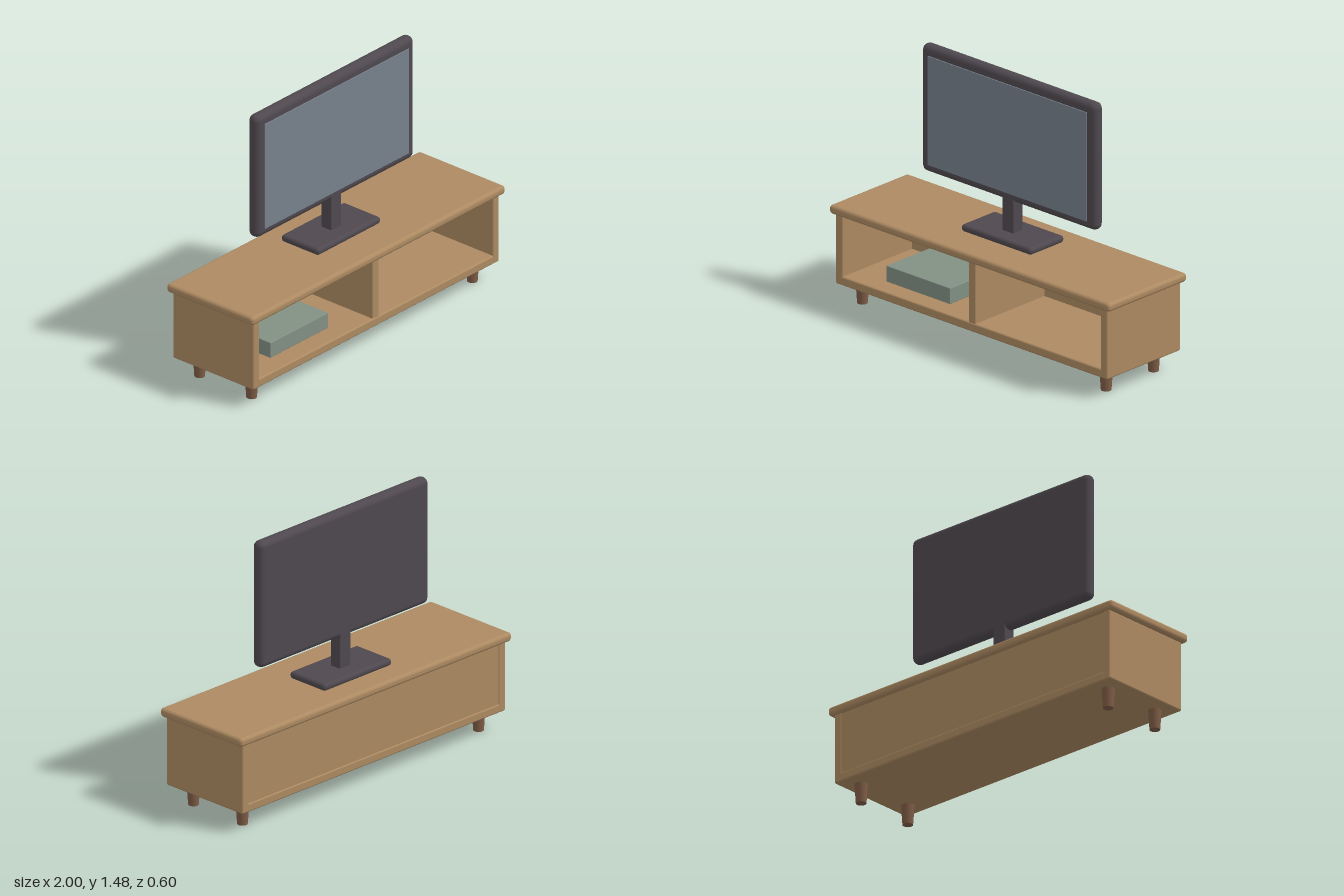
import * as THREE from 'three';
import { RoundedBoxGeometry } from 'three/addons/geometries/RoundedBoxGeometry.js';

const material = (name, color) => {
  const m = new THREE.MeshStandardMaterial({ color });
  m.name = name;
  return m;
};

export function createModel() {
  const wood = material('oak wood', 0xad8a62);
  const legWood = material('dark leg wood', 0x805d47);
  const plastic = material('charcoal plastic', 0x4f494f);
  const glass = material('screen glass', 0x78818d);
  const boxPaint = material('sage green', 0x829184);

  const model = new THREE.Group();
  model.name = 'televisionStand';

  const add = (parent, name, geometry, mat, x, y, z) => {
    const mesh = new THREE.Mesh(geometry, mat);
    mesh.name = name;
    mesh.position.set(x, y, z);
    parent.add(mesh);
  };
  // Box given by its [min, max] on each axis; r rounds the edges
  const slab = (parent, name, mat, [x0, x1], [y0, y1], [z0, z1], r = 0) => {
    const size = [x1 - x0, y1 - y0, z1 - z0];
    const geometry = r ? new RoundedBoxGeometry(...size, 3, r) : new THREE.BoxGeometry(...size);
    add(parent, name, geometry, mat, (x0 + x1) / 2, (y0 + y1) / 2, (z0 + z1) / 2);
  };

  // Cabinet carcass
  const cabinet = new THREE.Group();
  cabinet.name = 'cabinet';
  model.add(cabinet);
  slab(cabinet, 'tabletop', wood, [-1, 1], [0.5, 0.55], [-0.3, 0.3], 0.02);
  slab(cabinet, 'rightPanel', wood, [-0.97, -0.92], [0.11, 0.505], [-0.28, 0.28], 0.01);
  slab(cabinet, 'leftPanel', wood, [0.92, 0.97], [0.11, 0.505], [-0.28, 0.28], 0.01);
  slab(cabinet, 'bottomShelf', wood, [-0.93, 0.93], [0.11, 0.16], [-0.28, 0.28], 0.01);
  slab(cabinet, 'divider', wood, [-0.025, 0.025], [0.155, 0.505], [-0.26, 0.275], 0.006);
  slab(cabinet, 'backPanel', wood, [-0.925, 0.925], [0.15, 0.505], [-0.275, -0.25]);

  // Tapered legs
  const legGeometry = new THREE.CylinderGeometry(0.036, 0.028, 0.12, 16);
  for (const x of [-0.87, 0.87]) {
    for (const z of [-0.18, 0.18]) add(cabinet, 'leg', legGeometry, legWood, x, 0.06, z);
  }

  // Media box on the shelf
  slab(model, 'mediaBox', boxPaint, [-0.71, -0.255], [0.16, 0.25], [-0.17, 0.17], 0.004);

  // Television on its pedestal
  const television = new THREE.Group();
  television.name = 'television';
  model.add(television);
  slab(television, 'standBase', plastic, [-0.25, 0.25], [0.55, 0.59], [-0.165, 0.095], 0.018);
  slab(television, 'standNeck', plastic, [-0.04, 0.04], [0.58, 0.8], [-0.07, 0.002], 0.006);
  slab(television, 'screenFrame', plastic, [-0.623, 0.623], [0.76, 1.475], [-0.07, 0.002], 0.034);
  slab(television, 'screen', glass, [-0.567, 0.567], [0.808, 1.42], [0, 0.008]);

  return model;
}
